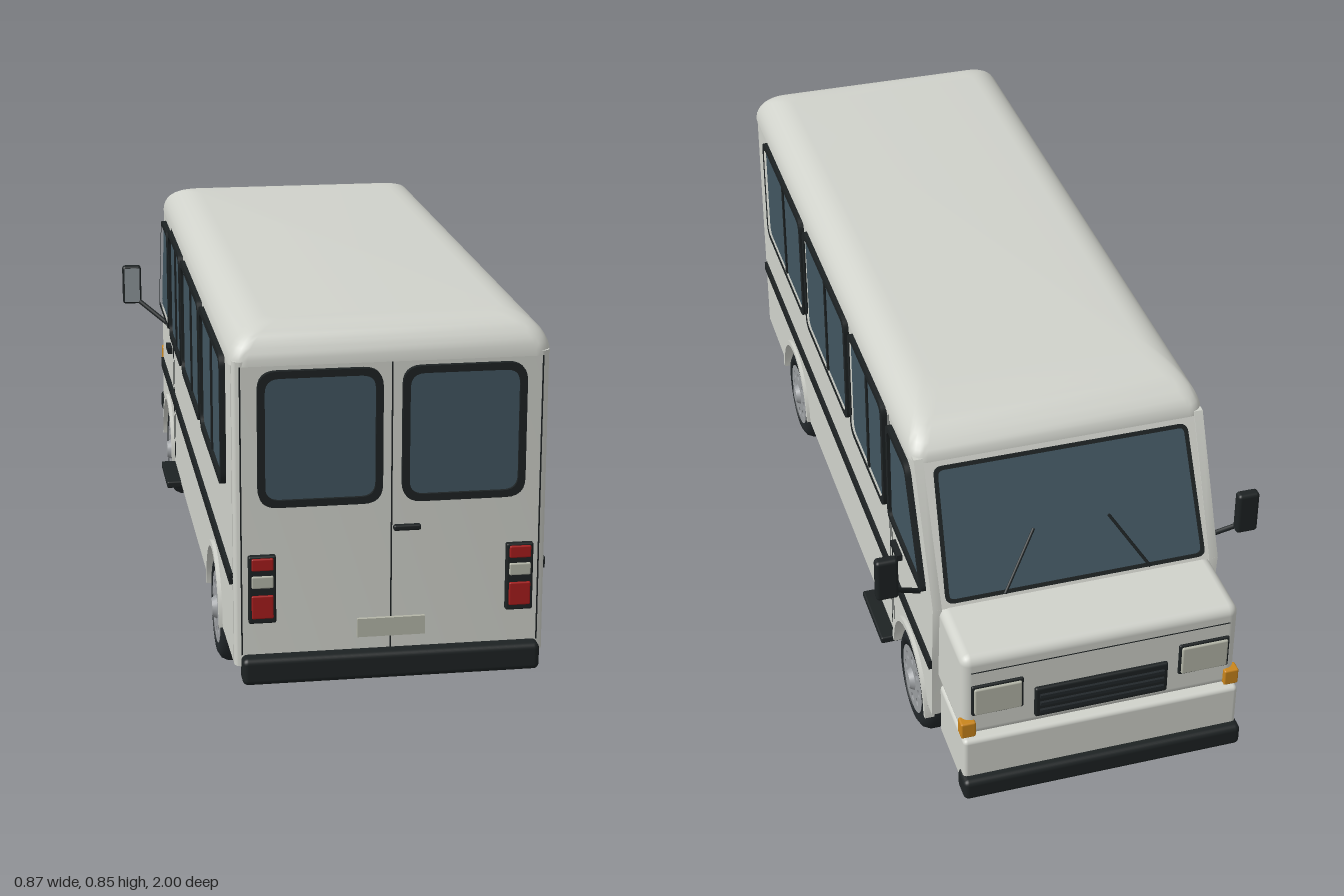
import * as THREE from 'three';
import { RoundedBoxGeometry } from 'three/addons/geometries/RoundedBoxGeometry.js';
import { toCreasedNormals } from 'three/addons/utils/BufferGeometryUtils.js';

const mat = (color) => new THREE.MeshStandardMaterial({ color });
const M = {
  body: mat(0xd0d2cb), dark: mat(0x1d2223), tire: mat(0x22272a), glass: mat(0x415560), rim: mat(0x9a9da0),
  red: mat(0xa51c1c), lamp: mat(0xb4b6a8), orange: mat(0xc9851c), mirror: mat(0x8f979b),
};

function add(parent, name, geo, m, x = 0, y = 0, z = 0) {
  const mesh = new THREE.Mesh(geo, m);
  mesh.name = name;
  mesh.position.set(x, y, z);
  parent.add(mesh);
  return mesh;
}
// Box given by its min/max ranges, with optional rounded edges
function box(parent, name, m, [x0, x1], [y0, y1], [z0, z1], r = 0) {
  const s = [x1 - x0, y1 - y0, z1 - z0];
  const geo = r ? new RoundedBoxGeometry(...s, 3, r) : new THREE.BoxGeometry(...s);
  return add(parent, name, geo, m, (x0 + x1) / 2, (y0 + y1) / 2, (z0 + z1) / 2);
}
function rod(parent, name, m, a, b, r) {
  const p = new THREE.Vector3(...a), d = new THREE.Vector3(...b).sub(p);
  const mesh = add(parent, name, new THREE.CylinderGeometry(r, r, d.length(), 8), m);
  mesh.position.copy(p).addScaledVector(d, 0.5);
  mesh.quaternion.setFromUnitVectors(new THREE.Vector3(0, 1, 0), d.normalize());
}
// Convex polygon moved inwards by w
function inset(pts, w) {
  const v = pts.map((p) => new THREE.Vector2(...p)), n = v.length;
  const sign = THREE.ShapeUtils.area(v) > 0 ? 1 : -1;
  return v.map((p, i) => {
    const a = p.clone().sub(v[(i + n - 1) % n]).normalize(), b = v[(i + 1) % n].clone().sub(p).normalize();
    const k = (w * sign) / a.cross(b);
    return [p.x + (b.x - a.x) * k * sign * sign, p.y + (b.y - a.y) * k];
  });
}
// Polygon with rounded corners
function roundPoly(pts, r, S = THREE.Shape) {
  const s = new S(), v = pts.map((p) => new THREE.Vector2(...p)), n = v.length;
  v.forEach((p, i) => {
    const a = v[(i + n - 1) % n].clone().sub(p).setLength(r).add(p);
    const b = v[(i + 1) % n].clone().sub(p).setLength(r).add(p);
    if (i) s.lineTo(a.x, a.y); else s.moveTo(a.x, a.y);
    s.quadraticCurveTo(p.x, p.y, b.x, b.y);
  });
  s.closePath();
  return s;
}
const extrude = (shape, depth) =>
  toCreasedNormals(new THREE.ExtrudeGeometry(shape, { depth, bevelEnabled: false, curveSegments: 6 }), 0.6);
const rect = (x0, x1, y0, y1) => [[x0, y0], [x1, y0], [x1, y1], [x0, y1]];

// Pane with a raised dark rubber frame, in the local xy plane
function addWindow(parent, name, pts, w, r, depth = 0.012) {
  const frame = roundPoly(pts, r);
  frame.holes.push(roundPoly(inset(pts, w), r * 0.75, THREE.Path));
  add(parent, name + 'Frame', extrude(frame, depth), M.dark);
  add(parent, name + 'Glass', extrude(roundPoly(inset(pts, w * 0.5), r * 0.8), depth * 0.4), M.glass);
}
const arc = (cz, r, reverse) => Array.from({ length: 21 }, (_, i) => {
  const a = (Math.PI * (reverse ? 20 - i : i)) / 20;
  return [cz + r * Math.cos(a), 0.127 + r * Math.sin(a)];
});
const WHEELS = [0.588, -0.59];

// Side wall with arches, windows, door and trim; s = +1 left, -1 right
function createSide(s) {
  const g = new THREE.Group();
  g.name = s > 0 ? 'leftSide' : 'rightSide';
  g.position.x = s * 0.325;
  g.rotation.y = (s * Math.PI) / 2;
  const map = (pts) => pts.map(([z, y]) => [-s * z, y]);
  const poly = (pts) => new THREE.Shape(map(pts).map((p) => new THREE.Vector2(...p)));
  const strip = (name, m, [z0, z1], ys, out) =>
    box(g, name, m, [Math.min(-s * z0, -s * z1), Math.max(-s * z0, -s * z1)], ys, [-0.004, out]);

  const wall = [[0.94, 0.135], ...arc(WHEELS[0], 0.132), ...arc(WHEELS[1], 0.132),
    [-0.73, 0.165], [-0.765, 0.165], [-0.77, 0.3], [-0.785, 0.485], [-0.645, 0.785], [0.94, 0.785]];
  add(g, 'sideWall', extrude(poly(wall), 0.02), M.body, 0, 0, -0.02);
  for (const z of WHEELS)
    add(g, 'archLip', extrude(poly([...arc(z, 0.143), ...arc(z, 0.13, true)]), 0.022), M.body, 0, 0, -0.014);

  for (const [a, b] of [[0.84, 0.4], [0.375, -0.065], [-0.095, -0.415]]) {
    addWindow(g, 'sideWindow', map(rect(b, a, 0.482, 0.768)), 0.016, 0.035);
    const c = (a + b) / 2;
    strip('windowDivider', M.dark, [c - 0.006, c + 0.006], [0.49, 0.76], 0.009);
  }
  addWindow(g, 'doorWindow', map([[-0.445, 0.49], [-0.738, 0.49], [-0.615, 0.75], [-0.445, 0.75]]), 0.014, 0.025);
  for (const z of [-0.42, -0.437]) strip('doorSeam', M.dark, [z - 0.001, z + 0.001], [0.15, 0.775], 0.001);
  strip('doorHandle', M.dark, [-0.468, -0.527], [0.42, 0.436], 0.012);
  strip('trimStripe', M.dark, [0.94, -0.77], [0.306, 0.33], 0.007);
  box(g, 'doorStep', M.dark, [s > 0 ? 0.27 : -0.45, s > 0 ? 0.45 : -0.27], [0.115, 0.132], [-0.04, 0.036], 0.004);
  return g;
}

// Wheel with pierced disc, axle along x, outer face toward s
function createWheel(s, z) {
  const g = new THREE.Group();
  g.name = 'wheel';
  g.position.set(s * 0.293, 0.12, z);
  g.rotation.y = (s * Math.PI) / 2;
  const prof = [[0.078, -0.03], [0.1, -0.032], [0.113, -0.024], [0.12, -0.01], [0.12, 0.01], [0.113, 0.024],
    [0.1, 0.032], [0.078, 0.03], [0.078, -0.03]].map((p) => new THREE.Vector2(...p));
  add(g, 'tire', new THREE.LatheGeometry(prof, 40), M.tire).rotation.x = Math.PI / 2;
  add(g, 'rimBack', new THREE.CylinderGeometry(0.079, 0.079, 0.04, 32), M.rim, 0, 0, -0.006).rotation.x = Math.PI / 2;
  add(g, 'rimWell', new THREE.CylinderGeometry(0.077, 0.077, 0.008, 32), M.dark, 0, 0, 0.016).rotation.x = Math.PI / 2;
  const disc = new THREE.Shape().absarc(0, 0, 0.08, 0, Math.PI * 2);
  for (let i = 0; i < 8; i++) {
    const a = (i * Math.PI) / 4;
    disc.holes.push(new THREE.Path().absarc(0.055 * Math.cos(a), 0.055 * Math.sin(a), 0.01, 0, Math.PI * 2));
  }
  add(g, 'rimDisc', toCreasedNormals(new THREE.ExtrudeGeometry(disc, { depth: 0.01, bevelEnabled: false, curveSegments: 16 }), 0.6), M.rim, 0, 0, 0.021);
  add(g, 'hubCap', new THREE.CylinderGeometry(0.02, 0.027, 0.012, 20), M.rim, 0, 0, 0.036).rotation.x = Math.PI / 2;
  return g;
}

// Domed roof lofted from shrinking rounded rectangles
function createRoof() {
  const pos = [], idx = [], C = 6, N = 4 * (C + 1), L = 10;
  for (let j = 0; j <= L; j++) {
    const a = (j / L) * Math.PI / 2, k = 1 - Math.cos(a), r = 0.035;
    const y = 0.775 + 0.078 * Math.sin(a);
    const hx = 0.33 - 0.085 * k, zb = 0.97 - 0.085 * k, zf = -0.648 + 0.19 * k;
    for (let q = 0; q < 4; q++) for (let i = 0; i <= C; i++) {
      const t = (q + i / C) * Math.PI / 2;
      const cx = (q === 0 || q === 3 ? 1 : -1) * (hx - r), cz = q < 2 ? zb - r : zf + r;
      pos.push(cx + r * Math.cos(t), y, cz + r * Math.sin(t));
    }
  }
  for (let j = 0; j < L; j++) for (let i = 0; i < N; i++) {
    const a = j * N + i, b = j * N + (i + 1) % N;
    idx.push(a, a + N, b, b, a + N, b + N);
  }
  for (let i = 1; i < N - 1; i++) idx.push(L * N, L * N + i + 1, L * N + i, 0, i, i + 1);
  const geo = new THREE.BufferGeometry();
  geo.setAttribute('position', new THREE.Float32BufferAttribute(pos, 3));
  geo.setIndex(idx);
  return toCreasedNormals(geo, 0.7);
}

export function createModel() {
  const van = new THREE.Group();
  van.name = 'minibus';
  add(van, 'roof', createRoof(), M.body);
  box(van, 'floor', M.dark, [-0.306, 0.306], [0.165, 0.178], [-0.76, 0.95]);

  // Rear wall with rounded corners
  const plan = roundPoly([[-0.325, -0.93], [-0.325, -0.968], [0.325, -0.968], [0.325, -0.93]], 0.018);
  add(van, 'rearWall', extrude(plan, 0.65), M.body, 0, 0.135, 0).rotation.x = -Math.PI / 2;

  // Rear doors and fittings
  const rear = new THREE.Group();
  rear.name = 'rearDoors';
  rear.position.z = 0.968;
  van.add(rear);
  for (const x of [-0.31, 0, 0.31]) box(rear, 'rearSeam', M.dark, [x - 0.0015, x + 0.0015], [0.16, 0.775], [-0.004, 0.001]);
  box(rear, 'rearHandle', M.dark, [0.003, 0.06], [0.418, 0.43], [0, 0.014], 0.004);
  box(rear, 'plate', M.lamp, [-0.071, 0.071], [0.188, 0.228], [0, 0.008]);
  for (const s of [-1, 1]) {
    const span = (a, b) => (s > 0 ? [a, b] : [-b, -a]);
    addWindow(rear, 'rearWindow', rect(...span(0.02, 0.276), 0.48, 0.766), 0.015, 0.04);
    box(rear, 'tailLampHousing', M.dark, span(0.24, 0.297), [0.232, 0.378], [-0.002, 0.014], 0.004);
    for (const [m, y0, y1] of [[M.red, 0.348, 0.374], [M.lamp, 0.31, 0.336], [M.red, 0.244, 0.294]])
      box(rear, 'tailLamp', m, span(0.246, 0.291), [y0, y1], [0, 0.019], 0.003);
  }
  box(van, 'rearBumper', M.dark, [-0.312, 0.312], [0.102, 0.16], [0.948, 1], 0.012);

  // Sloped windscreen with pillars and wipers
  const screen = new THREE.Group();
  screen.name = 'windscreen';
  screen.position.set(0, 0.63, -0.715);
  screen.lookAt(0, 0.63 + 0.14, -0.715 - 0.295);
  van.add(screen);
  box(screen, 'screenSurround', M.body, [-0.325, 0.325], [-0.163, 0.163], [-0.02, 0]);
  addWindow(screen, 'screen', [[-0.295, -0.152], [0.295, -0.152], [0.285, 0.148], [-0.285, 0.148]], 0.008, 0.018, 0.008);
  for (const s of [-1, 1]) rod(screen, 'wiper', M.dark, [s * 0.165, -0.15, 0.012], [s * 0.085, -0.02, 0.01], 0.0035);

  // Nose
  box(van, 'firewall', M.body, [-0.323, 0.323], [0.167, 0.486], [-0.765, -0.745]);
  box(van, 'hood', M.body, [-0.31, 0.31], [0.265, 0.484], [-0.957, -0.745], 0.022);
  box(van, 'hoodSeam', M.dark, [-0.29, 0.29], [0.444, 0.446], [-0.958, -0.95]);
  box(van, 'frontApron', M.body, [-0.312, 0.312], [0.135, 0.272], [-0.978, -0.785], 0.01);
  box(van, 'frontBumper', M.dark, [-0.317, 0.317], [0.12, 0.172], [-1, -0.942], 0.012);
  box(van, 'grille', M.dark, [-0.15, 0.15], [0.292, 0.372], [-0.966, -0.95], 0.005);
  for (let i = 0; i < 3; i++) {
    const y = 0.311 + i * 0.021;
    box(van, 'grilleSlat', M.tire, [-0.14, 0.14], [y - 0.004, y + 0.004], [-0.972, -0.96]);
  }

  for (const s of [-1, 1]) {
    const span = (a, b) => (s > 0 ? [a, b] : [-b, -a]);
    van.add(createSide(s));
    for (const z of WHEELS) van.add(createWheel(s, z));
    box(van, 'headlampFrame', M.dark, span(0.175, 0.29), [0.328, 0.41], [-0.963, -0.95], 0.004);
    box(van, 'headlamp', M.lamp, span(0.18, 0.285), [0.333, 0.405], [-0.968, -0.955], 0.004);
    box(van, 'indicator', M.orange, span(0.282, 0.315), [0.274, 0.314], [-0.968, -0.94], 0.004);
    // Door mirror
    rod(van, 'mirrorArm', M.dark, [s * 0.32, 0.45, -0.675], [s * 0.405, 0.515, -0.725], 0.006);
    box(van, 'mirrorHousing', M.dark, span(0.386, 0.436), [0.498, 0.602], [-0.74, -0.714], 0.008);
    box(van, 'mirrorGlass', M.mirror, span(0.391, 0.431), [0.504, 0.596], [-0.718, -0.712]);
  }
  return van;
}
